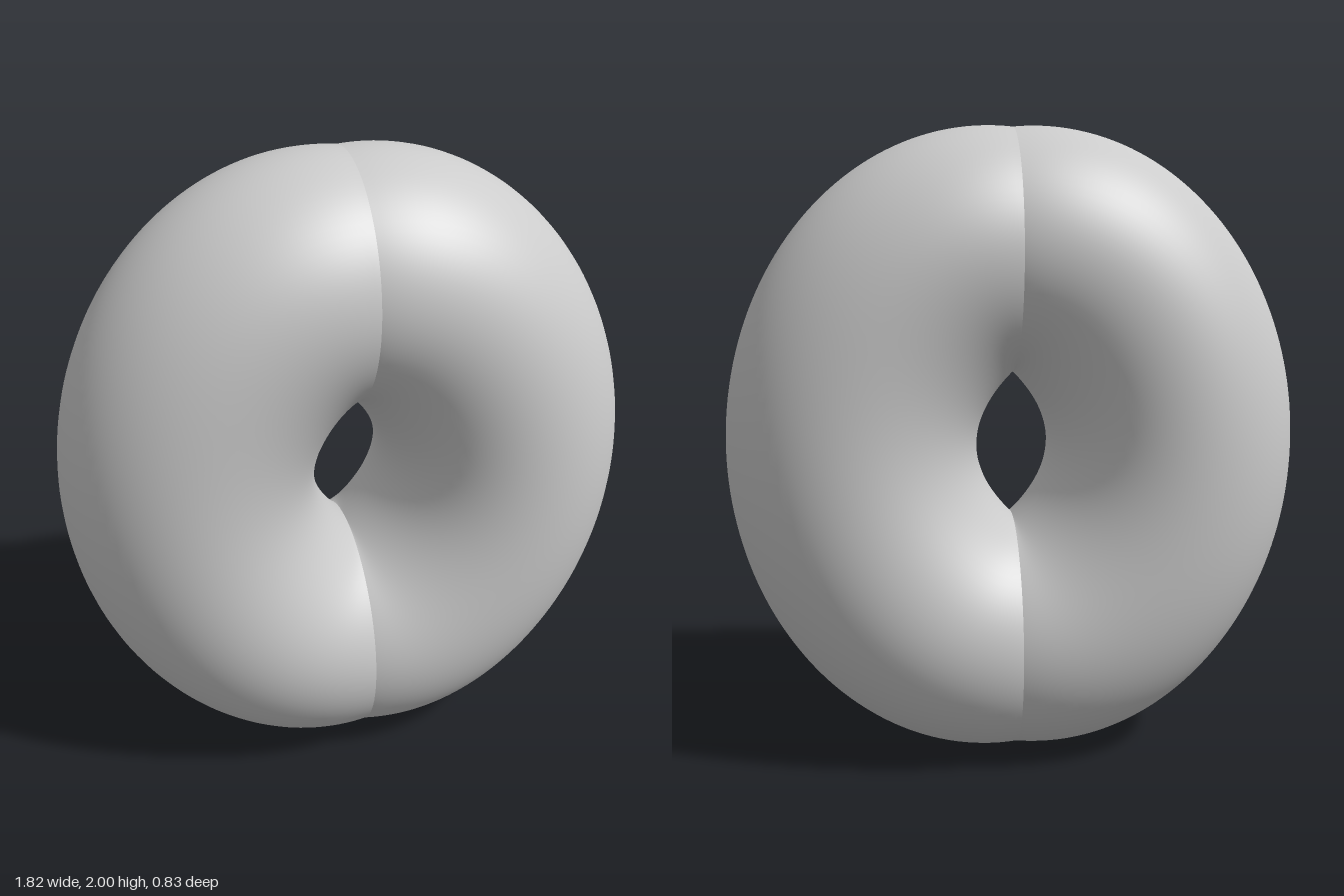
import * as THREE from 'three';

const STEPS = 96;   // along the half ring
const SIDES = 80;   // around the tube

// Half of the ring: oval cross-sections spanning the hole outline and the outer outline
function halfRingGeometry() {
  const end = Math.acos(-0.07 / 0.84);
  const positions = [], index = [];
  for (let i = 0; i <= STEPS; i++) {
    const s = (i / STEPS) * 2 - 1;
    const t = s * end, u = s * Math.PI / 2;
    const outer = new THREE.Vector2(0.07 + 0.84 * Math.cos(t), Math.sin(t));
    const k = (Math.sin(u) + 0.07 * Math.sin(3 * u)) / 0.93;
    const inner = new THREE.Vector2(0.116 * (1 - k * k), 0.236 * k);
    const mid = outer.clone().add(inner).multiplyScalar(0.5);
    const arm = outer.clone().sub(mid);
    const depth = 0.414 - 0.029 * Math.pow(Math.abs(s), 6);
    for (let j = 0; j < SIDES; j++) {
      const v = (j / SIDES) * Math.PI * 2;
      const c = Math.cos(v);
      positions.push(mid.x + arm.x * c, 1 + mid.y + arm.y * c, depth * Math.sin(v));
      if (i === STEPS) continue;
      const a = i * SIDES + j, b = i * SIDES + (j + 1) % SIDES;
      index.push(a, a + SIDES, b, b, a + SIDES, b + SIDES);
    }
  }
  const geometry = new THREE.BufferGeometry();
  geometry.setAttribute('position', new THREE.Float32BufferAttribute(positions, 3));
  geometry.setIndex(index);
  geometry.computeVertexNormals();
  return geometry;
}

export function createModel() {
  const model = new THREE.Group();
  model.name = 'pinchedRing';
  const material = new THREE.MeshStandardMaterial({ color: 0xcccccc });
  const geometry = halfRingGeometry();

  // Two equal halves meeting in a crease at x = 0
  const left = new THREE.Mesh(geometry, material);
  left.name = 'leftHalf';
  const right = new THREE.Mesh(geometry, material);
  right.name = 'rightHalf';
  right.rotation.y = Math.PI;
  model.add(left, right);
  return model;
}
